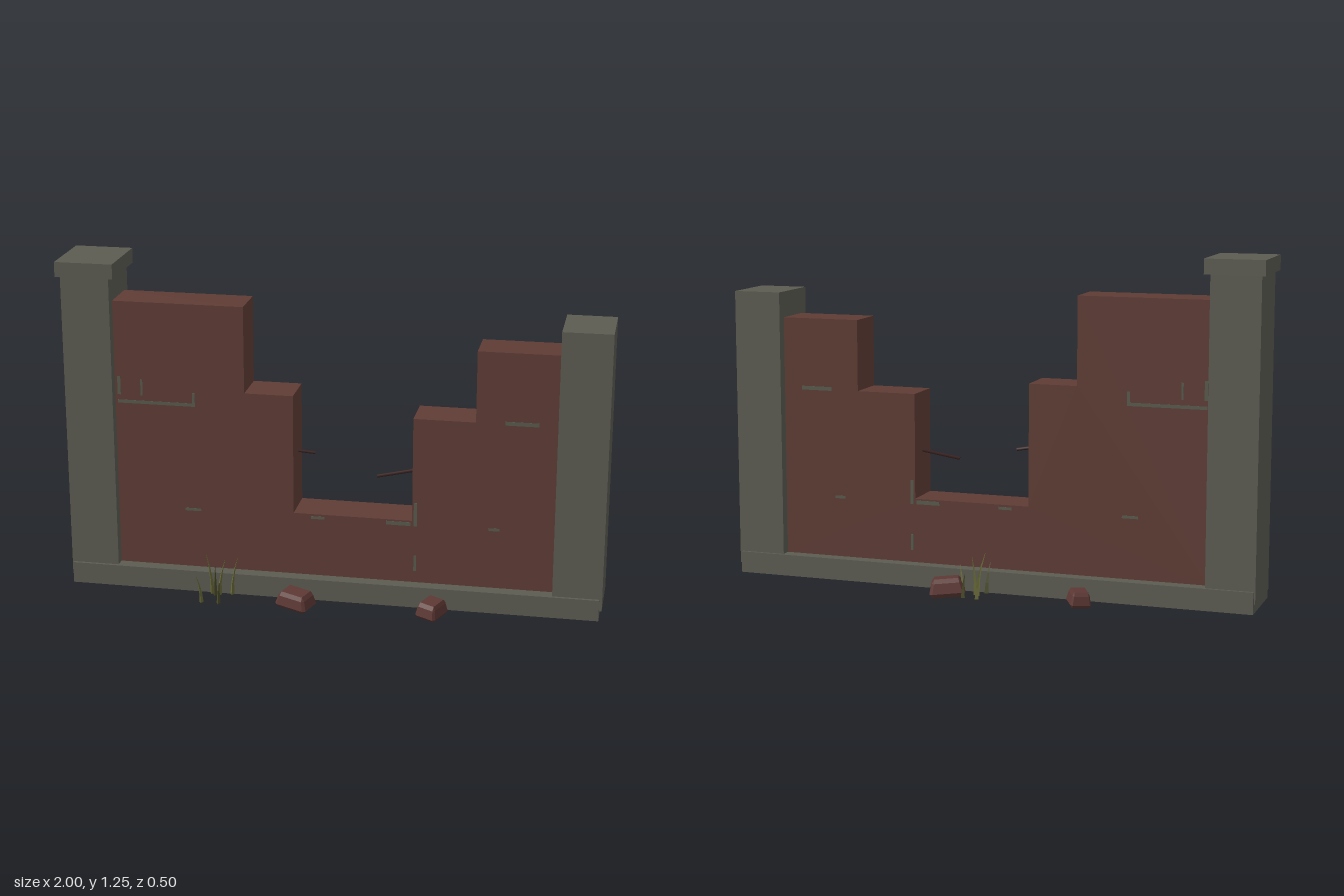
import * as THREE from 'three';
import { ConvexGeometry } from 'three/addons/geometries/ConvexGeometry.js';

const mat = (name, color, extra = {}) => {
  const m = new THREE.MeshStandardMaterial({ color, ...extra });
  m.name = name;
  return m;
};

export function createModel() {
  const model = new THREE.Group();
  model.name = 'ruinedWall';
  const stone = mat('grey stone', 0x5c5b52);
  const brick = mat('red brick', 0x5f3c35);
  const rubble = mat('broken brick', 0x5d3834);
  const mortar = mat('mortar', 0x585b4d);
  const iron = mat('rusty iron', 0x38211f);
  const grass = mat('olive grass', 0x686a38, { flatShading: true });
  const darkGrass = mat('dark grass', 0x4b4c2a, { flatShading: true });

  const add = (name, geometry, material, parent = model) => {
    const mesh = new THREE.Mesh(geometry, material);
    mesh.name = name;
    parent.add(mesh);
    return mesh;
  };
  // Box given by its extents
  const box = (name, x0, x1, y0, y1, z0, z1, material) => {
    const g = new THREE.BoxGeometry(x1 - x0, y1 - y0, z1 - z0);
    g.translate((x0 + x1) / 2, (y0 + y1) / 2, (z0 + z1) / 2);
    return add(name, g, material);
  };

  // Footing and pillars
  box('footing', -0.98, 0.99, 0.015, 0.095, -0.128, 0.128, stone);
  box('rightPillar', -0.985, -0.805, 0.05, 1.2, -0.117, 0.117, stone);
  box('rightPillarCap', -1, -0.785, 1.2, 1.255, -0.131, 0.131, stone);
  box('brokenLeftPillar', 0.82, 1, 0.05, 1.086, -0.117, 0.117, stone);

  // Stepped, broken wall
  const outline = [
    [-0.81, 0.09], [0.825, 0.09], [0.825, 0.99], [0.525, 0.99], [0.525, 0.726], [0.3, 0.726],
    [0.3, 0.335], [-0.14, 0.335], [-0.14, 0.785], [-0.32, 0.785], [-0.32, 1.108], [-0.81, 1.108],
  ].map(([x, y]) => new THREE.Vector2(x, y));
  const wall = new THREE.ExtrudeGeometry(new THREE.Shape(outline), { depth: 0.158, bevelEnabled: false });
  wall.translate(0, 0, -0.079);
  add('brickWall', wall, brick);

  // Worn mortar traces on both faces: x, y, width, height
  const traces = [
    [-0.65, 0.729, 0.29, 0.012], [-0.705, 0.785, 0.008, 0.06], [-0.79, 0.79, 0.012, 0.07],
    [-0.51, 0.75, 0.01, 0.05], [0.69, 0.729, 0.12, 0.014], [0.25, 0.322, 0.09, 0.014],
    [0.312, 0.36, 0.012, 0.09], [0.312, 0.17, 0.01, 0.06], [-0.52, 0.322, 0.06, 0.01],
    [-0.05, 0.322, 0.05, 0.01], [0.6, 0.322, 0.04, 0.01],
  ];
  for (const side of [1, -1]) {
    for (const [x, y, w, h] of traces) {
      add('mortarTrace', new THREE.BoxGeometry(w, h, 0.003), mortar).position.set(x, y, side * 0.079);
    }
  }

  // Bent reinforcing rods in the gap
  const rod = (a, b) => {
    const curve = new THREE.LineCurve3(new THREE.Vector3(...a), new THREE.Vector3(...b));
    const mesh = add('ironRod', new THREE.TubeGeometry(curve, 1, 0.006, 6), iron);
    const dir = curve.getTangent(0);
    for (const [p, s] of [[a, -1], [b, 1]]) {
      const cap = add('rodEnd', new THREE.CircleGeometry(0.006, 6), iron, mesh);
      cap.position.set(...p);
      cap.quaternion.setFromUnitVectors(new THREE.Vector3(0, 0, 1), dir.clone().multiplyScalar(s));
    }
  };
  rod([-0.16, 0.547, -0.017], [-0.08, 0.535, -0.034]);
  rod([0.32, 0.508, -0.002], [0.16, 0.478, 0.02]);

  // Chipped bricks: a box with cut corners and a narrower top
  const chippedBrick = (x, z, w, h, d, turn, lean) => {
    const points = [];
    for (const sx of [-1, 1]) for (const sy of [-1, 1]) for (const sz of [-1, 1]) {
      const t = sy > 0 ? 0.84 : 1;
      const X = sx * w / 2 * t, Y = sy * h / 2, Z = sz * d / 2 * t;
      points.push(
        new THREE.Vector3(X, Y * 0.55, Z * 0.8),
        new THREE.Vector3(X * 0.8, Y, Z * 0.76),
        new THREE.Vector3(X * 0.84, Y * 0.55, Z),
      );
    }
    const mesh = add('fallenBrick', new ConvexGeometry(points), rubble);
    mesh.position.set(x, h / 2 + 0.008, z);
    mesh.rotation.set(lean, turn, -lean, 'YXZ');
  };
  chippedBrick(-0.112, 0.183, 0.13, 0.062, 0.095, -0.35, 0.07);
  chippedBrick(0.39, 0.175, 0.085, 0.06, 0.105, -0.42, 0.07);
  chippedBrick(0.135, -0.19, 0.13, 0.068, 0.1, 0.35, 0.07);
  chippedBrick(-0.36, -0.173, 0.075, 0.058, 0.095, 0.5, -0.06);

  // Grass: three-sided blades curving towards their tips
  const blade = (x, z, height, dx, dz, material) => {
    const g = new THREE.CylinderGeometry(0.0008, 0.009, height, 3, 3);
    g.translate(0, height / 2, 0);
    const p = g.attributes.position;
    for (let i = 0; i < p.count; i++) {
      const t = (p.getY(i) / height) ** 2;
      p.setX(i, p.getX(i) + dx * t);
      p.setZ(i, p.getZ(i) + dz * t);
    }
    g.computeVertexNormals();
    add('grassBlade', g, material).position.set(x, 0.015, z);
  };
  [
    [-0.46, 0.225, 0.11, -0.012, 0.022], [-0.395, 0.225, 0.09, 0.008, 0.015],
    [-0.44, 0.137, 0.15, -0.022, -0.008], [-0.41, 0.145, 0.135, 0.02, -0.015],
    [-0.425, 0.152, 0.12, 0.005, 0.012], [-0.365, 0.132, 0.14, 0.02, -0.01],
    [0.005, -0.23, 0.125, -0.02, -0.018], [0.06, -0.225, 0.09, -0.012, -0.015],
    [0.02, -0.178, 0.16, -0.028, 0.002], [0.03, -0.172, 0.14, 0.01, -0.012],
    [0.0, -0.137, 0.115, -0.008, 0.018], [0.075, -0.185, 0.11, 0.015, 0.01],
  ].forEach(([x, z, h, dx, dz], i) => blade(x, z, h, dx, dz, i % 3 === 1 ? darkGrass : grass));

  return model;
}
